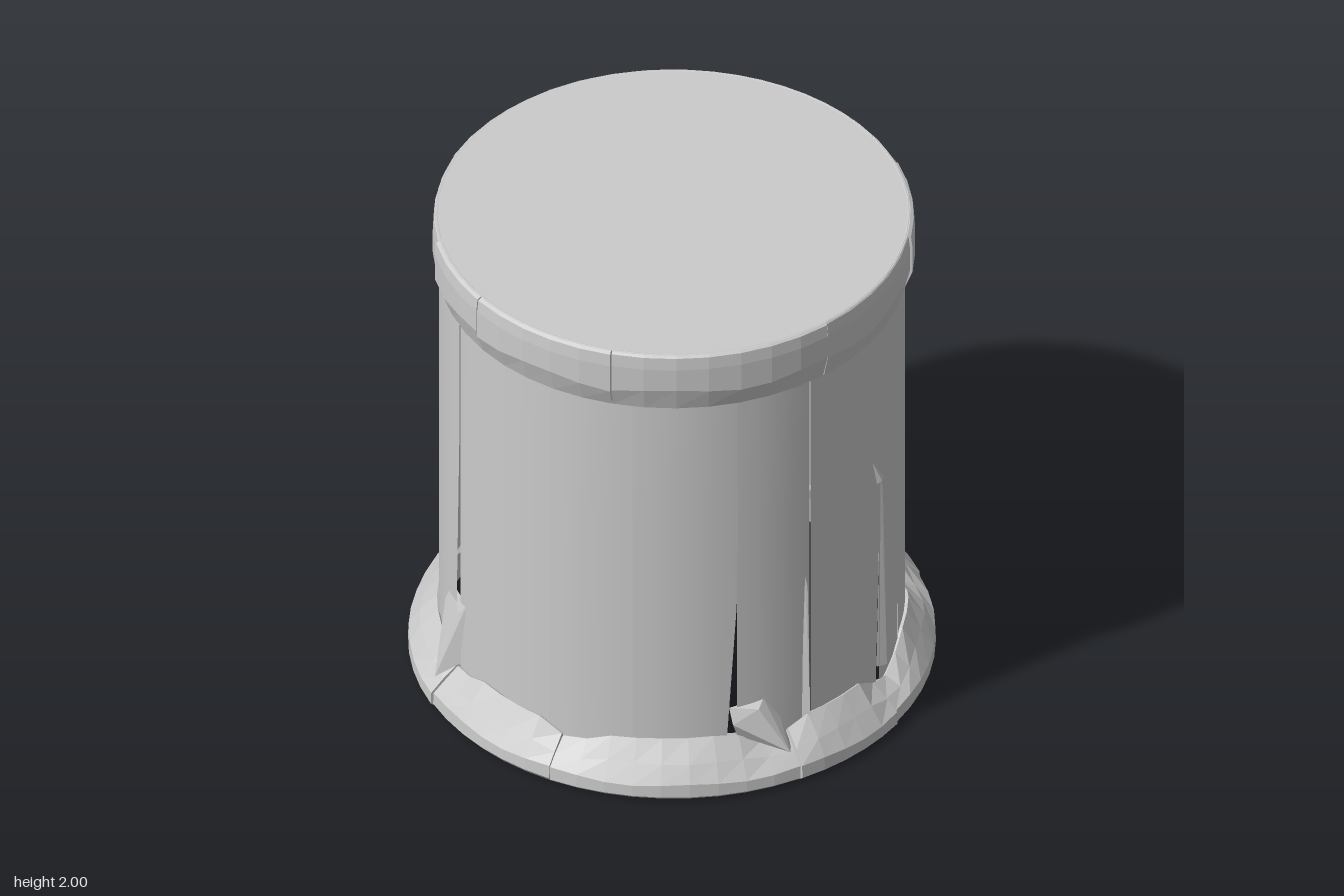
import * as THREE from 'three';
import { ConvexGeometry } from 'three/addons/geometries/ConvexGeometry.js';

const smooth = new THREE.MeshStandardMaterial({ color: 0xcccccc, side: THREE.DoubleSide });
const faceted = new THREE.MeshStandardMaterial({ color: 0xcccccc, side: THREE.DoubleSide, flatShading: true });

// Angle 0 is the front (+z), 90 is +x
const polar = (deg, y, r) => {
  const a = THREE.MathUtils.degToRad(deg);
  return new THREE.Vector3(r * Math.sin(a), y, r * Math.cos(a));
};

// Linear interpolation through [angle, value] keys, wrapping at 360
function keyed(keys, deg) {
  const d = ((deg % 360) + 360) % 360;
  for (let i = 1; i < keys.length; i++) {
    if (d <= keys[i][0]) {
      const [a, u] = keys[i - 1], [b, v] = keys[i];
      return u + (v - u) * (d - a) / (b - a);
    }
  }
  return keys[keys.length - 1][1];
}

// Sweeps a profile of [radius, height, angle shift] from one angle to another
function sector(name, from, to, step, profile, material, capped) {
  const n = Math.max(2, Math.round((to - from) / step));
  const pos = [], idx = [];
  let m = 0;
  for (let i = 0; i <= n; i++) {
    const t = i / n, deg = from + (to - from) * t;
    const pts = profile(deg, t);
    m = pts.length;
    for (const [r, y, shift = 0] of pts) pos.push(...polar(deg + shift, y, r).toArray());
  }
  for (let i = 0; i < n; i++) {
    for (let j = 0; j < m - 1; j++) {
      const a = i * m + j, b = a + m;
      idx.push(a, b, b + 1, a, b + 1, a + 1);
    }
  }
  // End faces of a closed profile
  if (capped) {
    const e = n * m;
    for (let j = 1; j < m - 2; j++) idx.push(0, j, j + 1, e, e + j + 1, e + j);
  }
  const g = new THREE.BufferGeometry();
  g.setAttribute('position', new THREE.Float32BufferAttribute(pos, 3));
  g.setIndex(idx);
  g.computeVertexNormals();
  const mesh = new THREE.Mesh(g, material);
  mesh.name = name;
  return mesh;
}

// Calls build(from, to, index) for each pair of neighbouring seams round the ring
function ring(name, seams, build) {
  const group = new THREE.Group();
  group.name = name;
  seams.forEach((from, i) => {
    const to = i + 1 < seams.length ? seams[i + 1] : seams[0] + 360;
    group.add(build(from, to, i));
  });
  return group;
}

// Solid chip from [angle, height, radius] corners
function chip(name, corners) {
  const mesh = new THREE.Mesh(new ConvexGeometry(corners.map(c => polar(...c))), faceted);
  mesh.name = name;
  return mesh;
}

export function createModel() {
  const model = new THREE.Group();
  model.name = 'stump';

  // Wall of upright staves, open below, with slits that widen downward
  const slits = { 1: [3.5, 0.85], 3: [2, 0.8], 4: [2, 1.05], 9: [2.5, 1.2] };
  model.add(ring('wall', [-28, -6, 20, 40, 66, 80, 134, 170, 212, 249, 298], (from, to, i) => {
    const r = 0.862 + 0.003 * Math.sin(i * 2.3);
    return sector('stave', from, to, 4, (deg, t) => {
      const [width, top] = slits[i] || [0, 1];
      return [0.04, 0.22, 0.5, 0.8, 1.2, 1.8].map(y => [
        r, y, -width * Math.max(0, (top - y) / top) * Math.max(0, 1 - 3 * (1 - t)),
      ]);
    }, smooth, false);
  }));

  // Flared foot: closed blocks, uneven along the top edge
  const footTop = [[0, 0.22], [18, 0.22], [32, 0.14], [34, 0.22], [60, 0.22], [63, 0.14], [69, 0.14],
    [82, 0.23], [99, 0.22], [101, 0.14], [114, 0.14], [116, 0.25], [122, 0.22], [135, 0.22], [139, 0.17],
    [146, 0.22], [188, 0.22], [191, 0.15], [203, 0.18], [214, 0.22], [245, 0.22], [249, 0.17], [258, 0.22],
    [295, 0.22], [300, 0.14], [308, 0.22], [334, 0.21], [337, 0.14], [348, 0.21], [360, 0.22]];
  model.add(ring('foot', [-24, 33, 62, 100, 115, 138, 190, 215, 247, 298], (from, to, i) => {
    const d = 0.005 * Math.sin(i * 1.9);
    return sector('footBlock', from + 0.15, to - 0.15, 6, deg => {
      const top = keyed(footTop, deg);
      const w = 0.006 * Math.sin(deg * 0.21);
      // Inner face runs in straight chords
      const k = ((deg % 36) + 36) % 36 - 18;
      const inner = 0.825 / Math.cos(THREE.MathUtils.degToRad(k));
      return [[0.9, 0.012], [0.955, 0.004], [0.977 + d, 0.025], [0.975 + d, 0.075 + w],
        [0.93 + d + w, 0.08 + (top - 0.08) * 0.45], [0.872, top], [inner, top - 0.02], [0.9, 0.012]];
    }, faceted, true);
  }));

  // Rim blocks round the top
  model.add(ring('rim', [-50, -11, 44, 85, 115, 135, 182, 215, 250, 285], (from, to, i) => {
    const d = 0.005 * Math.sin(i * 2.1 + 1);
    return sector('rimBlock', from + 0.15, to - 0.15, 8, deg => {
      const w = 0.012 * Math.sin(deg * 0.16 + i);
      return [[0.85, 1.745], [0.866, 1.745], [0.893 + d, 1.835 + w], [0.893 + d, 1.94],
        [0.888 + d, 1.99], [0.875, 2], [0.85, 1.995], [0.85, 1.745]];
    }, faceted, true);
  }));

  // Flat top
  const top = new THREE.Mesh(new THREE.CircleGeometry(0.88, 60), smooth);
  top.name = 'top';
  top.rotation.x = -Math.PI / 2;
  top.position.y = 1.999;
  model.add(top);

  // Chips standing on the foot
  model.add(chip('frontChip', [[18, 0.33, 0.855], [27, 0.345, 0.855], [18.5, 0.27, 0.885], [25, 0.32, 0.885],
    [31, 0.25, 0.875], [31, 0.14, 0.955], [33, 0.13, 0.9], [20, 0.2, 0.86]]));
  model.add(chip('sideChip', [[292, 0.48, 0.855], [301, 0.475, 0.855], [299, 0.42, 0.875], [300, 0.2, 0.88],
    [296, 0.12, 0.95], [288, 0.2, 0.88], [290, 0.4, 0.875]]));

  // Thin splinters up the wall
  const splinters = [[67, 1.07, 2.5], [38.5, 0.85, 2], [247, 1.3, 4]];
  for (const [deg, y, w] of splinters) {
    model.add(chip('splinter', [[deg, y, 0.862], [deg - w / 2, 0.2, 0.855], [deg + w / 2, 0.2, 0.855],
      [deg + w / 3, 0.2, 0.882], [deg + 0.5, y - 0.05, 0.868]]));
  }
  model.add(chip('barb', [[65, 1.05, 0.86], [69, 1.05, 0.862], [62.5, 1.19, 0.86], [65, 1.08, 0.885]]));

  // Pieces hanging below the back of the rim
  model.add(chip('hangingChip', [[183, 1.85, 0.9], [203, 1.85, 0.9], [183, 1.6, 0.862], [194, 1.62, 0.866],
    [203, 1.73, 0.87], [183, 1.75, 0.885], [198, 1.75, 0.89]]));
  model.add(chip('hangingChip', [[203, 1.84, 0.9], [220, 1.82, 0.895], [205, 1.7, 0.87], [209, 1.61, 0.865],
    [211, 1.64, 0.88], [220, 1.73, 0.866], [209, 1.76, 0.905]]));
  return model;
}
